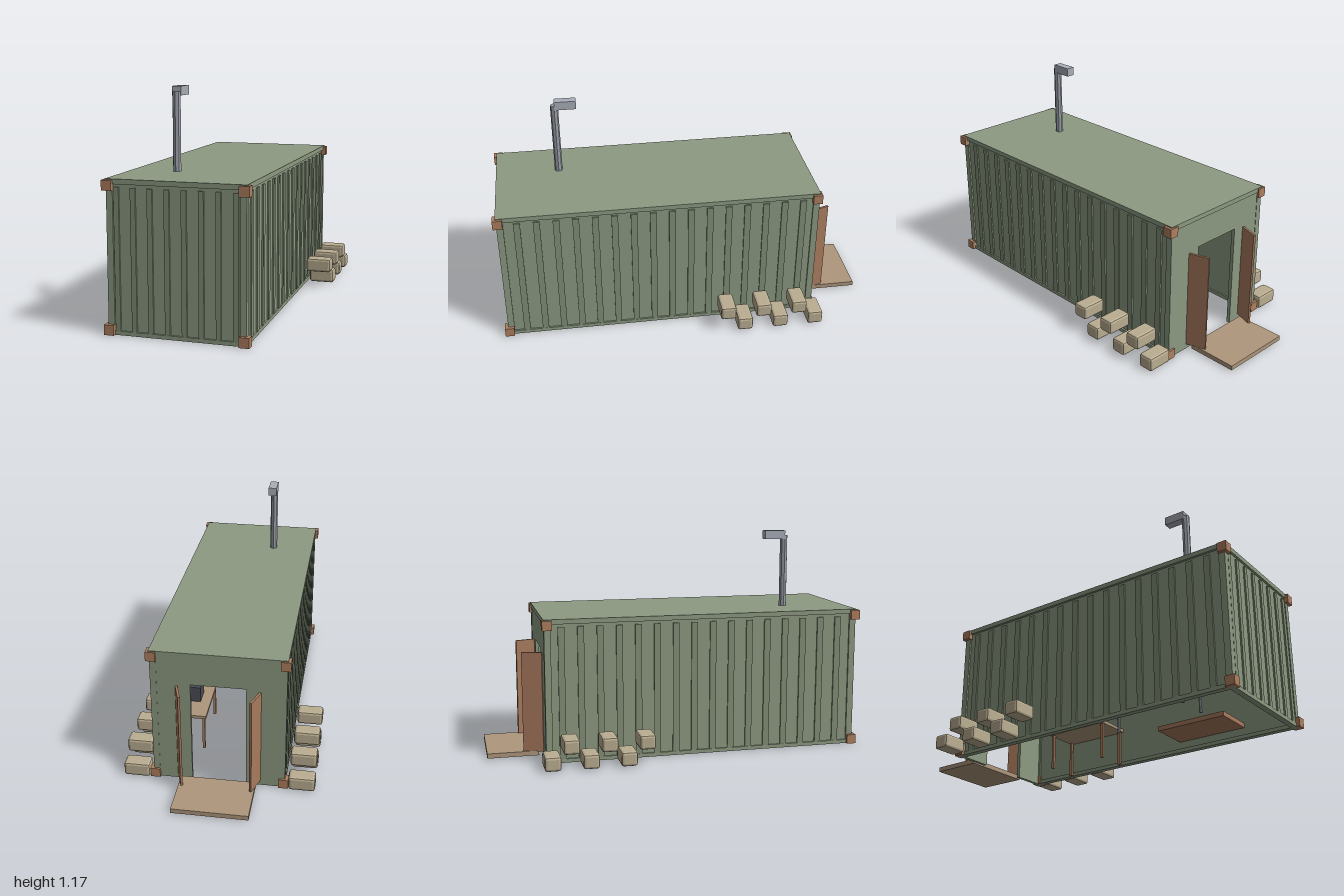
import * as THREE from 'three';
import { RoundedBoxGeometry } from 'three/addons/geometries/RoundedBoxGeometry.js';

const mat = (color) => new THREE.MeshStandardMaterial({ color, flatShading: true });
const M = {
  green: mat(0x8d9a82), rib: mat(0x839078), rust: mat(0xb08060), door: mat(0xa87a5e),
  plank: mat(0xae977c), bag: mat(0xbbae92), steel: mat(0x9aa0a8), cap: mat(0xa9aeb8),
  dark: mat(0x4a4d55), blanket: mat(0x7d8468), paper: mat(0xe0dac8),
};

export function createModel() {
  const model = new THREE.Group();
  model.name = 'containerShelter';

  function add(name, geometry, material, x, y, z, parent = model) {
    const mesh = new THREE.Mesh(geometry, material);
    mesh.name = name;
    mesh.position.set(x, y, z);
    parent.add(mesh);
    return mesh;
  }
  // Box given by its limits on each axis
  function box(name, material, [x0, x1], [y0, y1], [z0, z1], parent = model) {
    const g = new THREE.BoxGeometry(x1 - x0, y1 - y0, z1 - z0);
    return add(name, g, material, (x0 + x1) / 2, (y0 + y1) / 2, (z0 + z1) / 2, parent);
  }
  function group(name) {
    const g = new THREE.Group();
    g.name = name;
    model.add(g);
    return g;
  }

  // Shell: roof, side walls and front wall, open underneath
  const shell = group('containerShell');
  box('roof', M.green, [-0.345, 0.345], [0.725, 0.75], [-0.71, 0.985], shell);
  box('frontWall', M.green, [-0.335, 0.335], [0, 0.73], [0.955, 0.973], shell);
  for (const s of [-1, 1]) {
    const side = (a, b) => (s > 0 ? [a, b] : [-b, -a]);
    box('sideWall', M.green, side(0.318, 0.333), [0, 0.73], [-0.7, 0.97], shell);
    box('bottomSideRail', M.green, side(0.31, 0.342), [0, 0.02], [-0.7, 0.98], shell);
    for (let i = 0; i < 16; i++) {
      const z = 0.88 - i * 0.1;
      box('sideRib', M.rib, side(0.333, 0.341), [0.015, 0.71], [z - 0.017, z + 0.017], shell);
    }
    for (const z of [-0.69, 0.965]) {
      box('cornerPost', M.green, side(0.31, 0.342), [0, 0.73], [z - 0.017, z + 0.017], shell);
    }
    // Corner castings
    for (const y of [0.025, 0.72]) {
      for (const z of [-0.693, 0.975]) {
        add('cornerCasting', new THREE.BoxGeometry(0.05, 0.05, 0.05), M.rust, s * 0.334, y, z, shell);
      }
    }
  }
  box('bottomFrontRail', M.green, [-0.33, 0.33], [0, 0.02], [0.95, 0.982], shell);
  for (let i = 0; i < 8; i++) {
    const x = -0.293 + i * 0.0833;
    box('frontRib', M.rib, [x - 0.013, x + 0.013], [0.015, 0.71], [0.973, 0.981], shell);
  }

  // Back wall with the doorway cut out
  const wall = new THREE.Shape();
  [[-0.335, 0], [-0.14, 0], [-0.14, 0.57], [0.14, 0.57], [0.14, 0], [0.335, 0], [0.335, 0.73], [-0.335, 0.73]]
    .forEach(([x, y], i) => (i ? wall.lineTo(x, y) : wall.moveTo(x, y)));
  add('backWall', new THREE.ExtrudeGeometry(wall, { depth: 0.02, bevelEnabled: false }), M.green, 0, 0, -0.705, shell);

  // Open door leaves and doorstep
  for (const s of [-1, 1]) {
    const leaf = add('doorLeaf', new THREE.BoxGeometry(0.012, 0.53, 0.108), M.door, s * 0.193, 0.295, -0.758);
    leaf.rotation.y = s * 0.32;
  }
  box('doorstep', M.plank, [-0.195, 0.195], [0.005, 0.03], [-1, -0.73]);

  // Vent pipe with a hooded outlet
  const vent = group('ventPipe');
  add('pipe', new THREE.CylinderGeometry(0.021, 0.021, 0.4, 8), M.steel, -0.113, 0.94, 0.645, vent);
  box('ventHood', M.cap, [-0.136, -0.09], [1.12, 1.166], [0.53, 0.645], vent);

  // Staggered sandbags on both sides
  const bag = new RoundedBoxGeometry(0.138, 0.075, 0.084, 1, 0.013);
  for (const s of [-1, 1]) {
    [-0.3, -0.495, -0.69].forEach((z) => add('sandbag', bag, M.bag, s * 0.429, 0.041, z));
    [-0.205, -0.4, -0.595].forEach((z) => add('sandbag', bag, M.bag, s * 0.429, 0.123, z));
  }

  // Desk with a radio set
  const desk = group('desk');
  box('deskTop', M.plank, [0.115, 0.315], [0.195, 0.212], [-0.44, -0.07], desk);
  for (const x of [0.13, 0.295]) {
    for (const z of [-0.425, -0.085]) {
      box('deskLeg', M.rust, [x - 0.007, x + 0.007], [0, 0.195], [z - 0.007, z + 0.007], desk);
    }
  }
  box('radio', M.dark, [0.17, 0.29], [0.212, 0.3], [-0.3, -0.2], desk);
  add('radioAerial', new THREE.CylinderGeometry(0.003, 0.003, 0.05, 6), M.steel, 0.23, 0.325, -0.23, desk);

  // Cot
  const cot = group('cot');
  box('cotFrame', M.dark, [-0.315, -0.125], [0.115, 0.13], [0.2, 0.71], cot);
  box('mattress', M.blanket, [-0.312, -0.128], [0.13, 0.155], [0.203, 0.707], cot);
  for (const x of [-0.3, -0.138]) {
    for (const z of [0.215, 0.695]) {
      add('cotLeg', new THREE.CylinderGeometry(0.008, 0.008, 0.115, 8), M.steel, x, 0.0575, z, cot);
    }
  }

  // Wall bench and a notice board on the front wall
  box('bench', M.door, [0.1, 0.318], [0.06, 0.085], [0.3, 0.69]);
  const board = group('noticeBoard');
  box('boardPanel', M.plank, [-0.31, 0.1], [0.3, 0.46], [0.94, 0.955], board);
  for (const x of [-0.25, -0.14]) {
    box('paper', M.paper, [x - 0.035, x + 0.035], [0.34, 0.42], [0.936, 0.94], board);
  }
  return model;
}
